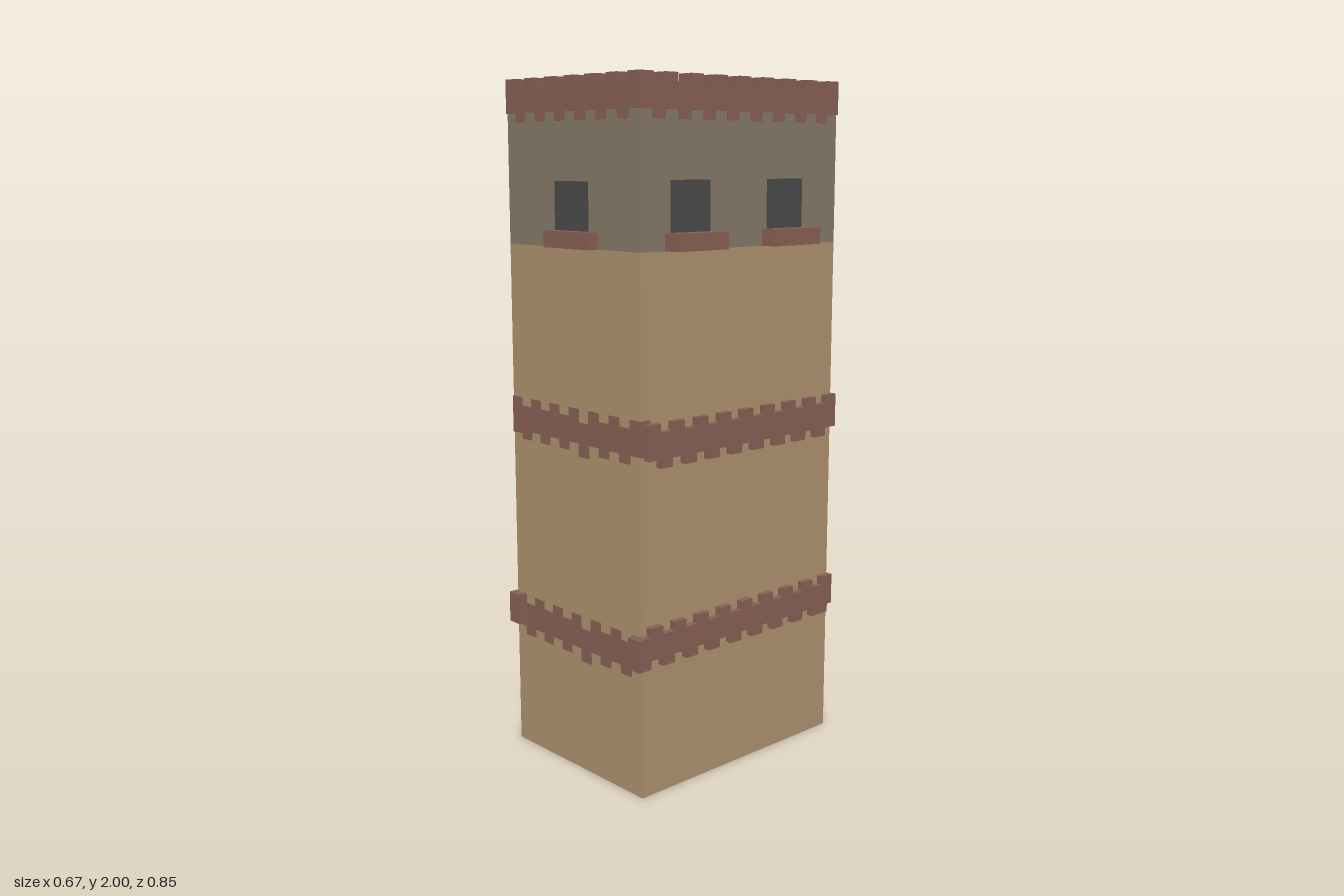
import * as THREE from 'three';

const mat = (name, color) => Object.assign(new THREE.MeshStandardMaterial({ color }), { name });

export function createModel() {
  const tower = new THREE.Group();
  tower.name = 'tower';
  const sand = mat('sandstone', 0xae926e);
  const grey = mat('grey stone', 0x857968);
  const brick = mat('brick', 0x876054);
  const dark = mat('dark opening', 0x4a4a4a);

  // Box given by its lower and upper corners
  function box(name, material, [x0, y0, z0], [x1, y1, z1], parent = tower) {
    const mesh = new THREE.Mesh(new THREE.BoxGeometry(x1 - x0, y1 - y0, z1 - z0), material);
    mesh.position.set((x0 + x1) / 2, (y0 + y1) / 2, (z0 + z1) / 2);
    mesh.name = name;
    parent.add(mesh);
    return mesh;
  }

  const X = 0.287, ZB = -0.388, ZF = 0.383;

  // Walls
  box('lowerWall', sand, [-X, 0, ZB], [X, 1.535, ZF]);
  box('upperWall', grey, [-X, 1.535, ZB], [X, 1.91, ZF]);

  // Row of bricks laid alternately high and low.
  // along: 'x' or 'z'; from..to: run; near..far: thickness; low: bottom of the low bricks
  function brickRow(name, along, count, from, to, near, far, low, height, firstHigh = true, extra = 0) {
    const row = new THREE.Group();
    row.name = name;
    const step = (to - from) / count;
    for (let i = 0; i < count; i++) {
      const high = (i % 2 === 0) === firstHigh;
      const y = low + (high ? 0.025 : 0) - (i === 7 ? extra : 0);
      const a = from + i * step, b = a + step;
      if (along === 'x') box('brick', brick, [a, y, near], [b, y + height, far], row);
      else box('brick', brick, [near, y, a], [far, y + height, b], row);
    }
    tower.add(row);
  }

  // Parapet around the roof
  brickRow('parapetFront', 'x', 13, -0.29, 0.29, 0.335, 0.386, 1.88, 0.095);
  brickRow('parapetBack', 'x', 13, -0.29, 0.29, -0.392, -0.343, 1.88, 0.095);
  brickRow('parapetLeft', 'z', 17, -0.39, 0.385, 0.242, 0.29, 1.88, 0.095);
  brickRow('parapetRight', 'z', 17, -0.39, 0.385, -0.29, -0.242, 1.88, 0.095);

  // Middle brick band
  brickRow('middleBandFront', 'x', 13, -0.288, 0.288, 0.35, 0.386, 0.96, 0.1, true, 0.013);
  brickRow('middleBandBack', 'x', 13, -0.288, 0.288, -0.393, -0.35, 0.945, 0.1, true, 0.013);
  brickRow('middleBandLeft', 'z', 17, -0.392, 0.372, 0.26, 0.305, 0.95, 0.1);
  brickRow('middleBandRight', 'z', 17, -0.389, 0.384, -0.291, -0.25, 0.95, 0.1);

  // Lower brick band, its side rows running past the front corners
  brickRow('lowerBandFront', 'x', 13, -0.288, 0.288, 0.35, 0.386, 0.35, 0.1, true, 0.013);
  brickRow('lowerBandBack', 'x', 13, -0.288, 0.288, -0.393, -0.35, 0.35, 0.1, true, 0.013);
  brickRow('lowerBandLeft', 'z', 18, -0.39, 0.41, 0.26, 0.307, 0.385, 0.093);
  brickRow('lowerBandRight', 'z', 18, -0.39, 0.41, -0.294, -0.246, 0.385, 0.093);

  // Front and back windows with sills
  box('frontWindow', dark, [-0.07, 1.57, ZF - 0.003], [0.075, 1.717, ZF + 0.003]);
  box('frontSill', brick, [-0.08, 1.535, ZF - 0.02], [0.113, 1.582, 0.42]);
  box('backWindow', dark, [-0.07, 1.57, ZB - 0.003], [0.075, 1.717, ZB + 0.003]);
  box('backSill', brick, [-0.08, 1.535, -0.425], [0.113, 1.582, ZB + 0.02]);

  // Two windows with sills on each side
  for (const [s, side] of [[1, 'left'], [-1, 'right']]) {
    for (const [z0, z1, sillZ0, sillZ1] of [[0.13, 0.275, 0.105, 0.295], [-0.24, -0.095, -0.27, -0.078]]) {
      const win = box(side + 'Window', dark, [X - 0.003, 1.57, z0], [X + 0.003, 1.722, z1]);
      const sill = box(side + 'Sill', brick, [X - 0.02, 1.535, sillZ0], [0.337, 1.583, sillZ1]);
      win.position.x *= s;
      sill.position.x *= s;
    }
  }
  return tower;
}
